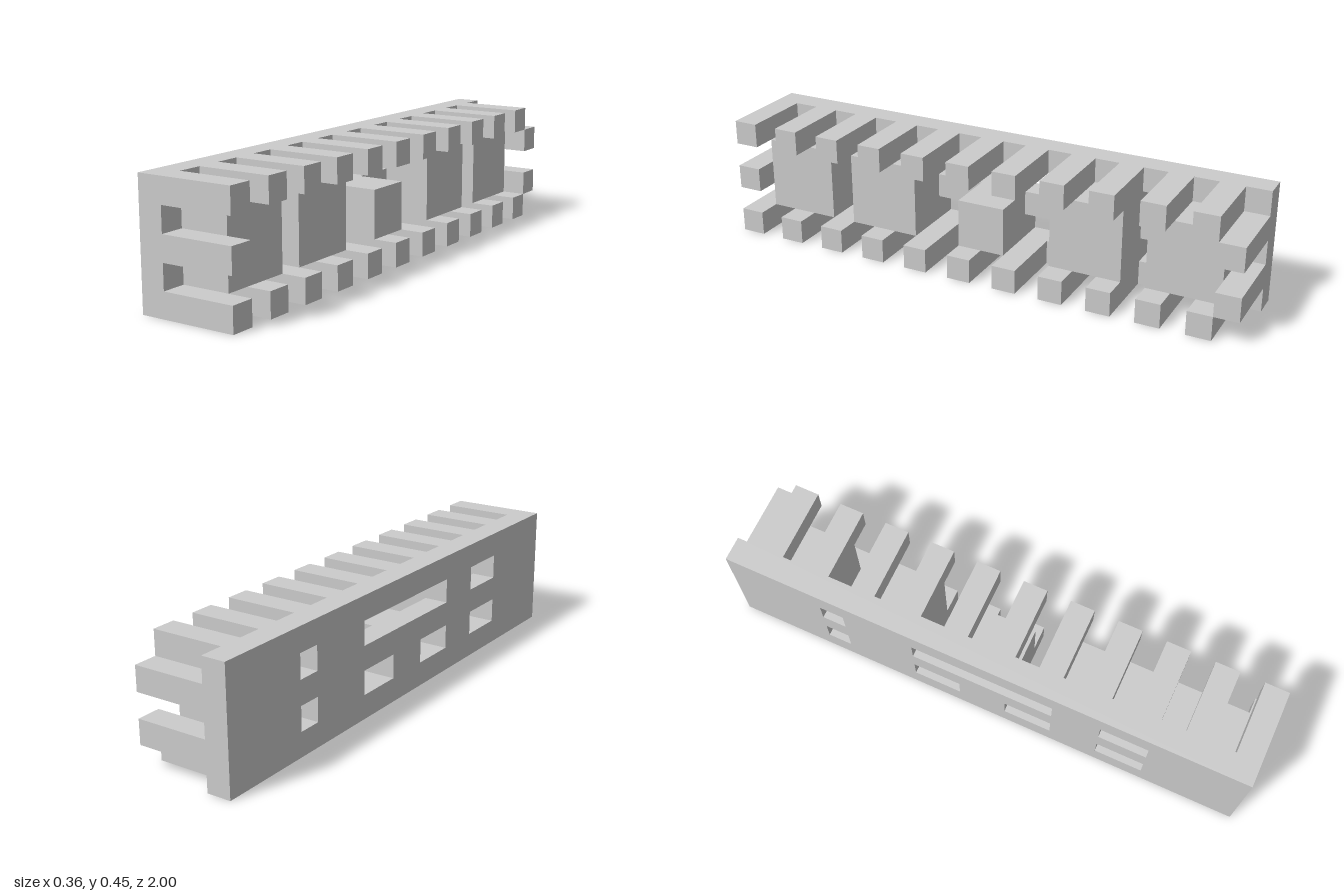
import * as THREE from 'three';

const U = 1 / 11; // one grid cell: the body is 4 x 5 x 22 cells

export function createModel() {
  const group = new THREE.Group();
  const material = new THREE.MeshStandardMaterial({ color: 0xcccccc, flatShading: true });

  const add = (name, geometry) => {
    geometry.scale(U, U, U);
    const mesh = new THREE.Mesh(geometry, material);
    mesh.name = name;
    group.add(mesh);
  };

  // Box given by its cell ranges
  const block = (name, x0, x1, y0, y1, z0, z1) => {
    const g = new THREE.BoxGeometry(x1 - x0, y1 - y0, z1 - z0);
    g.translate((x0 + x1) / 2, (y0 + y1) / 2, (z0 + z1) / 2);
    add(name, g);
  };

  // Back plate, drawn in (z, y) with its windows and extruded along x
  const trace = (path, z0, z1, y0, y1) =>
    path.moveTo(z0, y0).lineTo(z1, y0).lineTo(z1, y1).lineTo(z0, y1).closePath();
  const plate = new THREE.Shape();
  trace(plate, -11, 11, 0, 5);
  const windows = [
    [-7, -6, 1, 2], [-7, -6, 3, 4],
    [-3, -1, 1, 2], [1, 3, 1, 2], [-3, 3, 3, 4],
    [5, 7, 1, 2], [5, 7, 3, 4],
  ];
  for (const w of windows) {
    const hole = new THREE.Path();
    trace(hole, ...w);
    plate.holes.push(hole);
  }
  const plateGeometry = new THREE.ExtrudeGeometry(plate, { depth: 1, bevelEnabled: false });
  plateGeometry.rotateY(-Math.PI / 2);
  plateGeometry.translate(-1, 0, 0);
  add('backPlate', plateGeometry);

  // Finger joints along the top and bottom edges
  for (let z = -10; z <= 10; z += 2) {
    block('bottomFinger', -1, 2, 0, 1, z, z + 1);
    block('topFinger', -1, 2, 4, 5, z, z + 1);
  }

  // Finger joints at the two ends
  block('frontFinger', -1, 2, 2, 3, 10, 11);
  for (const y of [1, 3]) block('backFinger', -1, 2, y, y + 1, -11, -10);

  // Inner blocks: two tall ones each side of a lower one
  for (const z of [-10, -6, 3, 7]) block('tallBlock', -1, 1, 1, 4, z, z + 3);
  block('centreBlock', -1, 1, 1, 3, -1, 1);

  return group;
}
